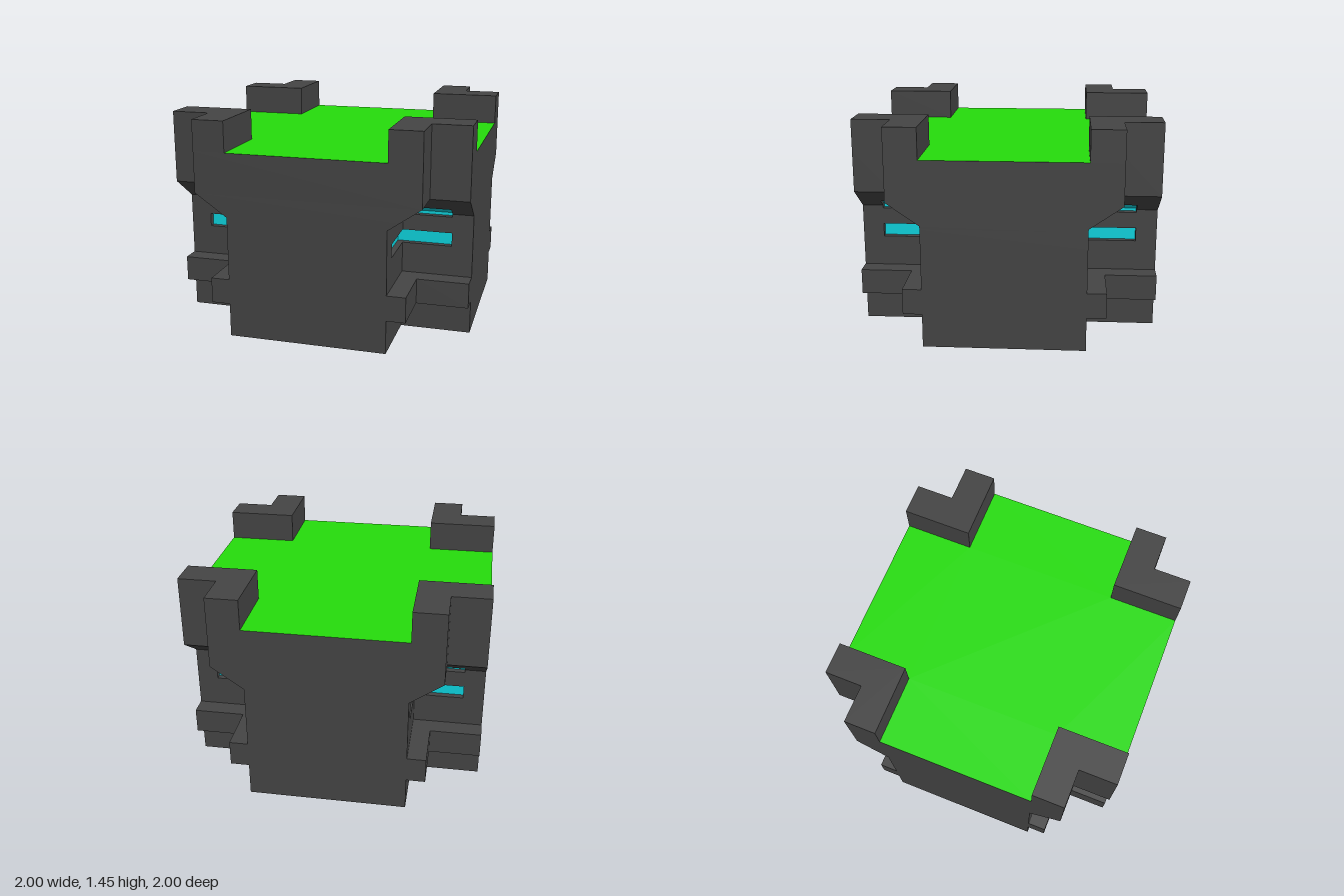
import * as THREE from 'three';

const N = 0.53;        // corner notch of the main block (distance from centre)
const P = 0.745;       // notch of the corner posts
const B = 0.655;       // notch of the lower band
const S = N + (P - N) / 3; // notch where the upper slot ends on the slope
const D = 0.04;        // slot depth
const R = 0.86;        // slot reach along the wall
const TOP = 1.245, POST_TOP = 1.45;

const paint = (color) => new THREE.MeshStandardMaterial({ color, flatShading: true });
const dark = paint(0x454545), green = paint(0x26dd0c), cyan = paint(0x0dd5e0);

function add(group, name, geometry, material) {
  const mesh = new THREE.Mesh(geometry, material);
  mesh.name = name;
  group.add(mesh);
  return mesh;
}

// Wall strip between a lower and an upper path of [x, z] points
function wall(y0, lower, y1, upper) {
  const v = [];
  for (let i = 0; i + 1 < lower.length; i++) {
    const a = [lower[i][0], y0, lower[i][1]], b = [lower[i + 1][0], y0, lower[i + 1][1]];
    const c = [upper[i + 1][0], y1, upper[i + 1][1]], d = [upper[i][0], y1, upper[i][1]];
    v.push(...a, ...d, ...c, ...a, ...c, ...b);
  }
  const g = new THREE.BufferGeometry();
  g.setAttribute('position', new THREE.Float32BufferAttribute(v, 3));
  g.computeVertexNormals();
  return g;
}

const toShape = (pts) => new THREE.Shape(pts.map(([x, y]) => new THREE.Vector2(x, y)));

// L-shaped outline between notch a and notch b
const ell = (a, b, r) => toShape([[a, a], [r, a], [r, b], [b, b], [b, r], [a, r]]);

// Flat horizontal surface facing up or down
const flat = (shape, y, up) =>
  new THREE.ShapeGeometry(shape).rotateX(up ? -Math.PI / 2 : Math.PI / 2).translate(0, y, 0);

// Paths around one corner and along one side face
const plain = (n) => [[1, n], [n, n], [n, 1], [-n, 1]];
const slotStart = (n) => [[1, n], [R, n], [R, n - D]];
const slotBack = (n) => [[R, n - D], [n - D, n - D], [n - D, R]];
const slotEnd = (n) => [[n - D, R], [n, R], [n, 1], [-n, 1]];

function createQuarter() {
  const quarter = new THREE.Group();

  // Layers: bottom, top, notch at bottom, notch at top, slotted
  const layers = [
    [0, 0.225, N, N], [0.225, 0.395, B, B], [0.395, 0.6, N, N],
    [0.6, 0.69, N, N, true], [0.69, 0.8, N, N],
    [0.8, 0.82, N, N, true], [0.82, 0.87, N, S, true],
    [0.87, 0.97, S, P], [0.97, TOP, P, P],
  ];
  for (const [y0, y1, n0, n1, slotted] of layers) {
    const strip = (name, path, mat) => add(quarter, name, wall(y0, path(n0), y1, path(n1)), mat);
    if (slotted) {
      strip('slotSide', slotStart, dark);
      strip('lightStrip', slotBack, cyan);
      strip('slotSide', slotEnd, dark);
    } else strip('sideWall', plain, dark);
  }

  // Band ledges, slot floors and slot ceilings
  const ledges = [
    ['bandUnderside', 0.225, N, B, 1, false], ['bandTop', 0.395, N, B, 1, true],
    ['lowerSlotFloor', 0.6, N - D, N, R, true], ['lowerSlotCeiling', 0.69, N - D, N, R, false],
    ['upperSlotFloor', 0.8, N - D, N, R, true], ['upperSlotCeiling', 0.87, S - D, S, R, false],
  ];
  for (const [name, y, a, b, r, up] of ledges) add(quarter, name, flat(ell(a, b, r), y, up), dark);

  // Corner post rising above the top
  const post = new THREE.ExtrudeGeometry(ell(N, P, 1), { depth: POST_TOP - TOP, bevelEnabled: false });
  add(quarter, 'cornerPost', post.rotateX(-Math.PI / 2).translate(0, TOP, 0), dark);
  return quarter;
}

export function createModel() {
  const model = new THREE.Group();
  model.name = 'notchedBlock';

  const quarter = createQuarter();
  for (let i = 0; i < 4; i++) {
    const q = quarter.clone();
    q.name = `quarter${i + 1}`;
    q.rotation.y = i * Math.PI / 2;
    model.add(q);
  }

  // Cross-shaped top surface and underside
  const cross = toShape([
    [1, -N], [1, N], [N, N], [N, 1], [-N, 1], [-N, N],
    [-1, N], [-1, -N], [-N, -N], [-N, -1], [N, -1], [N, -N],
  ]);
  add(model, 'topSurface', flat(cross, TOP, true), green);
  add(model, 'underside', flat(cross, 0, false), dark);
  return model;
}
